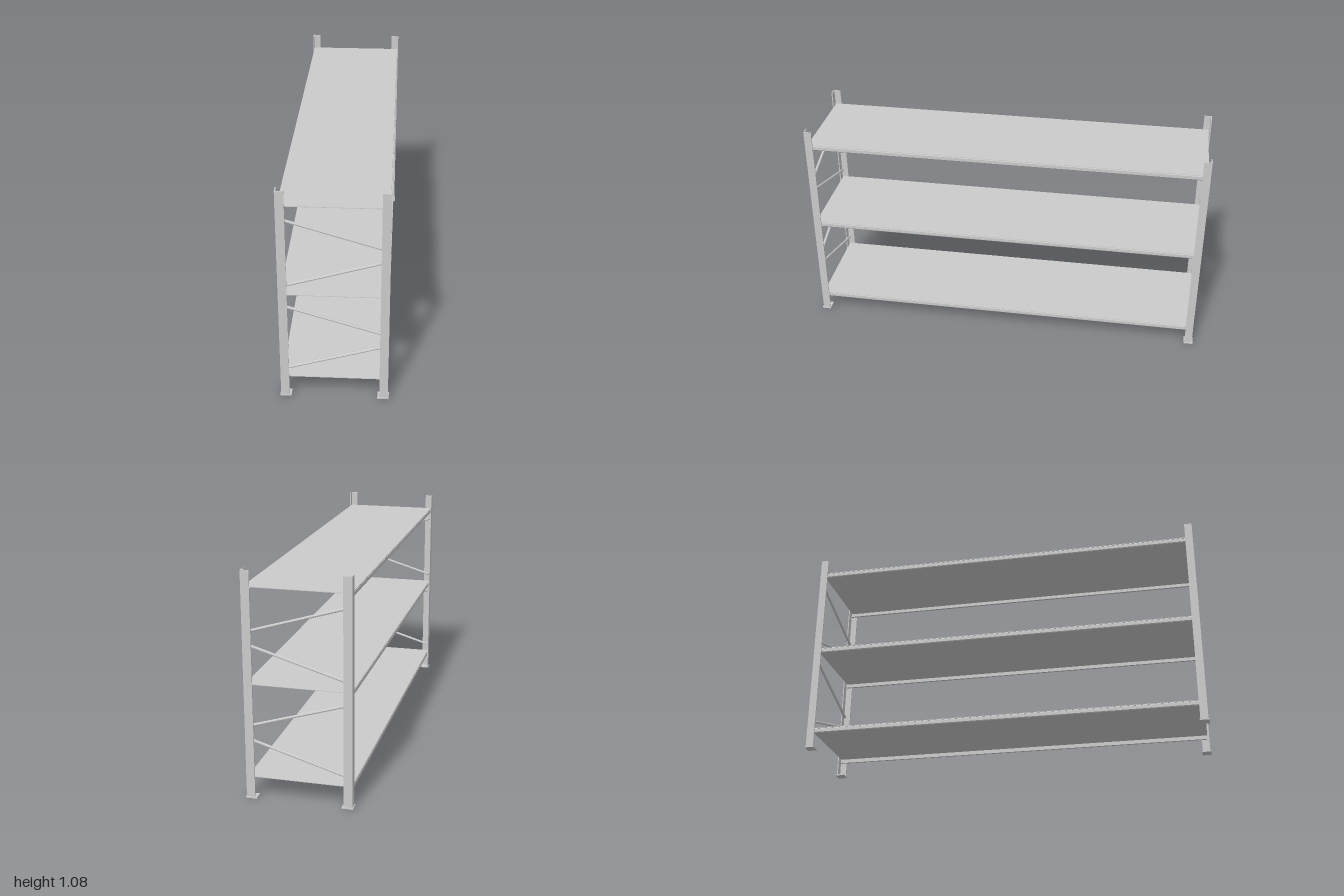
import * as THREE from 'three';

export function createModel() {
  const rack = new THREE.Group();
  rack.name = 'shelvingRack';
  const steel = new THREE.MeshStandardMaterial({ color: 0xcccccc, flatShading: true });

  const add = (name, geometry, x, y, z) => {
    const mesh = new THREE.Mesh(geometry, steel);
    mesh.name = name;
    mesh.position.set(x, y, z);
    rack.add(mesh);
    return mesh;
  };
  const shapeOf = (points) => new THREE.Shape(points.map(([x, y]) => new THREE.Vector2(x, y)));

  // Angle-section uprights with foot plates, one per corner
  const height = 1.075, t = 0.005;
  for (const sx of [-1, 1]) {
    for (const sz of [-1, 1]) {
      const x = 0.249 * sx, z = 0.995 * sz;
      const profile = [
        [x, -z], [x - 0.04 * sx, -z], [x - 0.04 * sx, -z + t * sz],
        [x - t * sx, -z + t * sz], [x - t * sx, -z + 0.038 * sz], [x, -z + 0.038 * sz],
      ];
      const upright = new THREE.ExtrudeGeometry(shapeOf(profile), { depth: height, bevelEnabled: false });
      upright.rotateX(-Math.PI / 2);
      add('upright', upright, 0, 0, 0);
      add('footPlate', new THREE.BoxGeometry(0.053, 0.006, 0.046), 0.2265 * sx, 0.003, 0.977 * sz);
    }
  }

  // Shelf panels, each carried by a folded channel along both long sides
  for (const y of [0.105, 0.552, 1.0]) {
    add('shelfPanel', new THREE.BoxGeometry(0.486, 0.003, 1.97), 0, y - 0.0015, 0);
    for (const s of [-1, 1]) {
      const channel = [
        [0.241, -0.003], [0.244, -0.006], [0.244, -0.022], [0.241, -0.026],
        [0.23, -0.026], [0.23, -0.023], [0.24, -0.023], [0.24, -0.003],
      ].map(([x, v]) => [x * s, v]);
      const rail = new THREE.ExtrudeGeometry(shapeOf(channel), { depth: 1.97, bevelEnabled: false });
      add('shelfRail', rail, 0, y, -0.985);
    }
  }

  // Zigzag braces behind the uprights at both ends: heights at x = -0.21 and x = +0.21
  const braces = [[0.155, 0.281], [0.486, 0.358], [0.603, 0.729], [0.928, 0.802]];
  for (const z of [-0.983, 0.983]) {
    for (const [left, right] of braces) {
      const angle = Math.atan2(right - left, 0.42);
      const bar = new THREE.CylinderGeometry(0.0068, 0.0068, 0.475 / Math.cos(angle), 8);
      bar.rotateZ(Math.PI / 2);
      add('brace', bar, 0, (left + right) / 2, z).rotation.z = angle;
    }
  }
  return rack;
}
